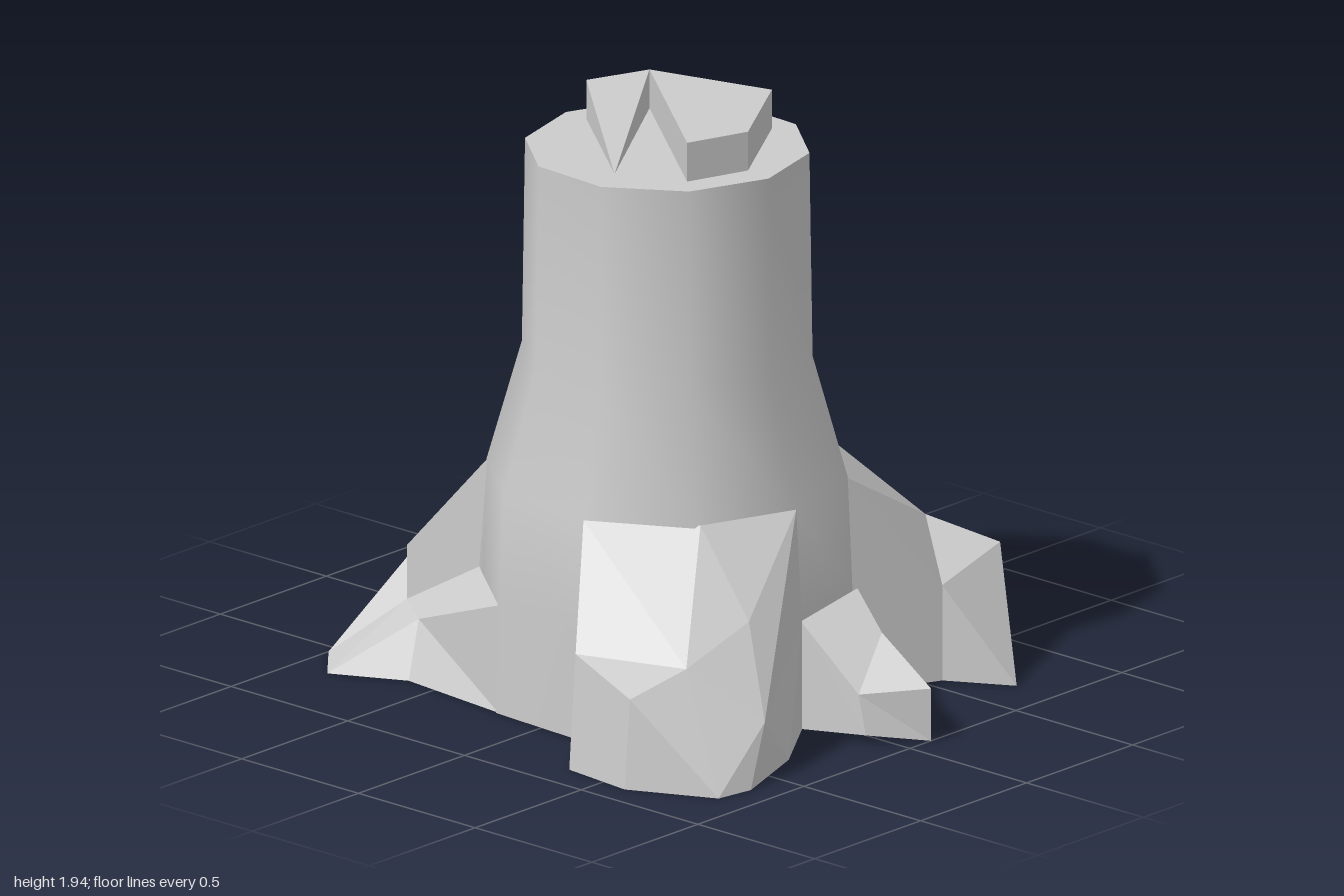
import * as THREE from 'three';

const material = new THREE.MeshStandardMaterial({ color: 0xcccccc, flatShading: true, side: THREE.DoubleSide });
const smooth = new THREE.MeshStandardMaterial({ color: 0xcccccc });

// Faceted solid from named corners; each face is a string of corner letters, turned away from the core point.
function faceted(name, corners, faces, core) {
  const inside = new THREE.Vector3(...core);
  const pos = [];
  for (const face of faces) {
    const p = [...face].map(k => new THREE.Vector3(...corners[k]));
    for (let i = 1; i < p.length - 1; i++) {
      const [a, b, c] = [p[0], p[i], p[i + 1]];
      const n = b.clone().sub(a).cross(c.clone().sub(a));
      const tri = n.dot(a.clone().sub(inside)) >= 0 ? [a, b, c] : [a, c, b];
      tri.forEach(v => pos.push(v.x, v.y, v.z));
    }
  }
  const g = new THREE.BufferGeometry();
  g.setAttribute('position', new THREE.Float32BufferAttribute(pos, 3));
  g.computeVertexNormals();
  const mesh = new THREE.Mesh(g, material);
  mesh.name = name;
  return mesh;
}

// Ten-sided trunk, smooth around the bark with flat cut ends
function makeTrunk() {
  const trunk = new THREE.Group();
  trunk.name = 'trunk';
  const turn = THREE.MathUtils.degToRad(3);
  const profile = [[0.607, 0], [0.595, 0.36], [0.58, 0.73], [0.467, 1.13], [0.457, 1.81]];
  const bark = new THREE.Mesh(new THREE.LatheGeometry(
    profile.map(p => new THREE.Vector2(...p)), 10, THREE.MathUtils.degToRad(15)), smooth);
  bark.name = 'bark';
  const top = new THREE.Mesh(new THREE.CircleGeometry(0.457, 10, -turn).rotateX(-Math.PI / 2), material);
  top.position.y = 1.81;
  top.name = 'cutTop';
  const base = new THREE.Mesh(new THREE.CircleGeometry(0.607, 10, turn).rotateX(Math.PI / 2), material);
  base.name = 'base';
  trunk.add(bark, top, base);
  trunk.position.set(0.015, 0, 0.06);
  return trunk;
}

export function createModel() {
  const model = new THREE.Group();
  model.name = 'treeStump';
  model.add(makeTrunk());

  // Front right root: high ridge with a lower shelf towards the front
  model.add(faceted('frontRightRoot', {
    a: [-0.565, 0.73, 0.03], b: [-0.465, 0.73, 0.38], c: [-0.86, 0.37, 0.2], d: [-0.81, 0.36, 0.38],
    e: [-0.81, 0.18, 0.38], f: [-0.5, 0.36, 0.38], g: [-0.65, 0.18, 0.5], h: [-0.2, 0.36, 0.62],
    i: [-1, 0, 0.54], j: [-0.86, 0, 0.7], k: [-0.62, 0, 0.58], l: [-0.2, 0, 0.62],
    m: [-0.59, 0, 0.03], n: [-0.86, 0, 0.2],
  }, ['abdc', 'bdef', 'cdei', 'efhg', 'egji', 'gjk', 'ghlk', 'acnm', 'cin', 'mnijkl'], [-0.55, 0.1, 0.35]));

  // Front left root: the broadest one, with a shelf on its outer side
  model.add(faceted('frontLeftRoot', {
    a: [0.165, 0.73, 0.62], b: [0.475, 0.73, 0.41], c: [0.595, 0.73, 0.09], d: [0.34, 0.38, 0.85],
    e: [0.66, 0.36, 0.68], f: [0.71, 0.47, 0.44], g: [0.6, 0.295, 0.88], h: [0.86, 0.19, 0.53],
    i: [0.62, 0.36, 0.09], j: [0.17, 0, 0.64], k: [0.34, 0, 0.88], l: [0.6, 0, 0.905],
    m: [0.88, 0, 0.77], n: [0.9, 0, 0.64], o: [0.79, 0, 0.34], p: [0.62, 0, 0.09],
  }, ['abed', 'bfe', 'bcf', 'deg', 'efhm', 'emg', 'gml', 'hnm', 'cihf', 'ihop', 'hno', 'adkj', 'dglk', 'jklmnop'],
  [0.48, 0.12, 0.5]));

  // Small left root
  model.add(faceted('leftRoot', {
    a: [0.615, 0.36, 0.09], b: [0.53, 0.36, -0.27], c: [0.78, 0.31, -0.11], d: [1, 0.175, -0.1],
    e: [0.84, 0.16, 0.065], f: [0.62, 0, 0.09], g: [0.53, 0, -0.27], h: [0.78, 0.04, -0.11],
    i: [1, 0, -0.1], j: [0.87, 0.03, 0.065],
  }, ['abc', 'ace', 'cde', 'edij', 'aejf', 'bchg', 'cdih', 'fghj', 'hij'], [0.72, 0.12, -0.04]));

  // Back left root
  model.add(faceted('backLeftRoot', {
    a: [0.5, 0.73, -0.25], b: [0.22, 0.73, -0.49], c: [0.34, 0.43, -0.8], d: [0.56, 0.36, -0.91],
    e: [0.63, 0.32, -0.56], f: [0.84, 0, -0.68], g: [0.56, 0, -0.91], h: [0.34, 0, -0.8],
    i: [0.22, 0, -0.51], j: [0.5, 0, -0.27], k: [0.63, 0, -0.56],
  }, ['abc', 'ace', 'cde', 'dfe', 'dgf', 'efk', 'aekj', 'bchi', 'cdgh', 'ihgfkj'], [0.46, 0.15, -0.56]));

  // Low, pointed back right root
  model.add(faceted('backRightRoot', {
    a: [-0.45, 0.36, -0.32], b: [-0.14, 0.36, -0.52], c: [-0.69, 0.27, -0.49], d: [-0.53, 0.18, -0.6],
    e: [-0.73, 0, -0.76], f: [-0.69, 0, -0.49], g: [-0.53, 0, -0.6], h: [-0.45, 0, -0.33], i: [-0.14, 0, -0.53],
  }, ['abdc', 'cde', 'cef', 'deg', 'acfh', 'bdgi', 'hfegi'], [-0.45, 0.06, -0.48]));

  // Splintered wood left on the cut: a slab and a thin wedge
  model.add(faceted('splinterSlab', {
    a: [-0.27, 1.94, -0.17], b: [0.3, 1.94, 0.28], c: [0.37, 1.94, 0.07], d: [0.15, 1.94, -0.285],
    e: [-0.09, 1.81, -0.3], f: [-0.27, 1.81, -0.17], g: [0.3, 1.81, 0.28], h: [0.37, 1.81, 0.07],
    i: [0.15, 1.81, -0.285],
  }, ['abcd', 'ade', 'aef', 'abgf', 'bchg', 'cdih', 'dei'], [0.1, 1.83, 0]));
  model.add(faceted('splinterWedge', {
    a: [-0.35, 1.94, 0.04], b: [-0.27, 1.94, -0.17], c: [0.08, 1.81, 0.38],
    d: [-0.35, 1.81, 0.04], e: [-0.27, 1.81, -0.17],
  }, ['abc', 'acd', 'bce', 'abed'], [-0.2, 1.83, 0.06]));

  return model;
}
